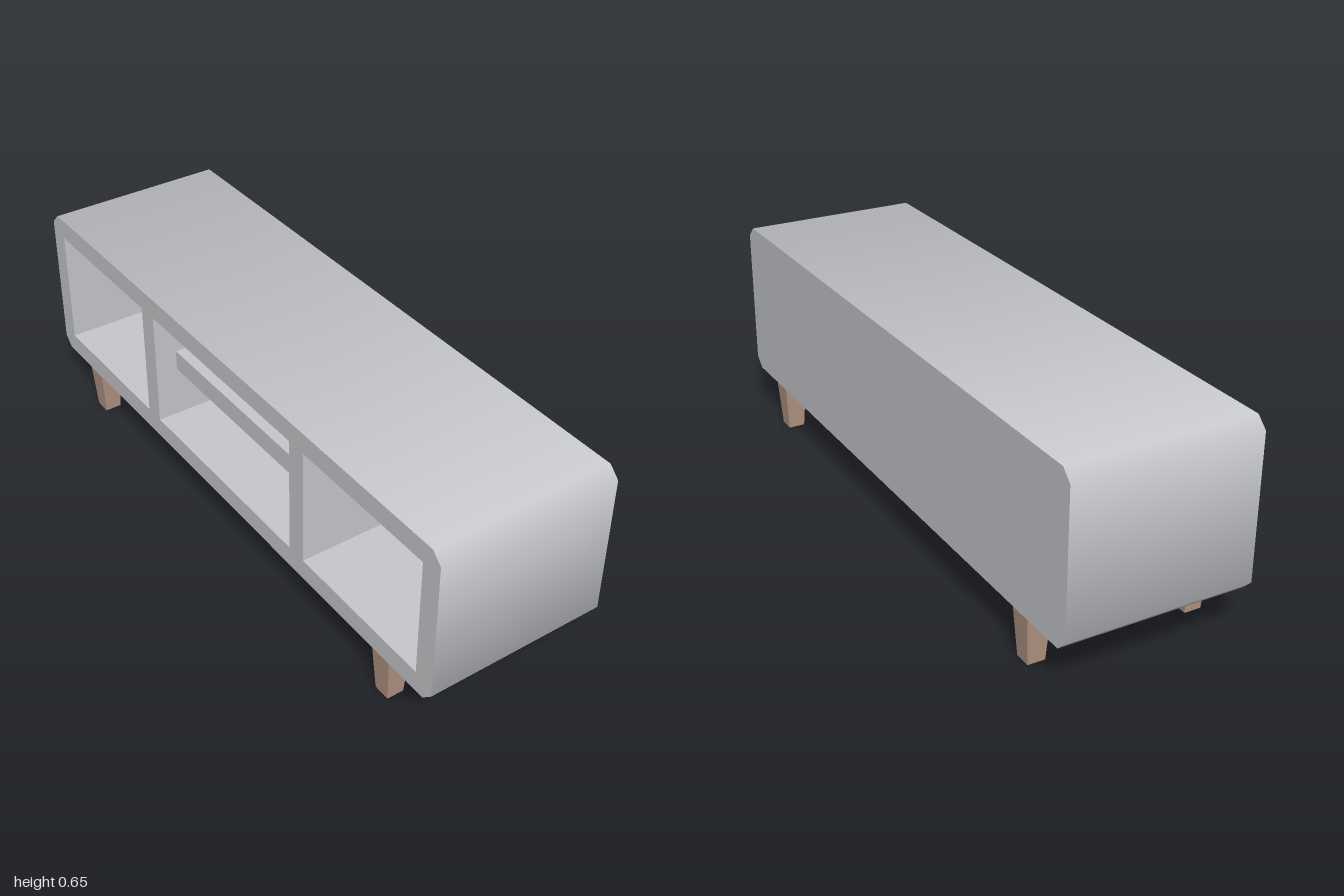
import * as THREE from 'three';

const HALF_DEPTH = 0.286, BASE = 0.148, TOP = 0.655, CHAMFER = 0.033;
const NICHE_BOTTOM = 0.213, NICHE_TOP = 0.59, BACK = 0.22;
const NICHES = [[-0.934, -0.427], [-0.361, 0.361], [0.427, 0.934]];

const named = (name, geometry, material) => {
  const mesh = new THREE.Mesh(geometry, material);
  mesh.name = name;
  return mesh;
};

// Outline of the cabinet seen from the open side, as (z, y), counterclockwise
function outline() {
  const c = CHAMFER;
  return [
    [1 - c, TOP], [c - 1, TOP], [-1, TOP - c], [-1, BASE + c],
    [c - 1, BASE], [1 - c, BASE], [1, BASE + c], [1, TOP - c],
  ].map(([z, y]) => new THREE.Vector2(z, y));
}

// Band round the outline with normals averaged across each corner
function bandGeometry(points) {
  const n = points.length, positions = [], normals = [], index = [];
  const edgeNormal = (i) => {
    const d = points[(i + 1) % n].clone().sub(points[i % n]).normalize();
    return new THREE.Vector2(d.y, -d.x);
  };
  points.forEach((p, i) => {
    const normal = edgeNormal(i).add(edgeNormal(i + n - 1)).normalize();
    for (const x of [-HALF_DEPTH, HALF_DEPTH]) {
      positions.push(x, p.y, p.x);
      normals.push(0, normal.y, normal.x);
    }
    const a = 2 * i, d = 2 * ((i + 1) % n);
    index.push(a, a + 1, d + 1, a, d + 1, d);
  });
  const g = new THREE.BufferGeometry();
  g.setAttribute('position', new THREE.Float32BufferAttribute(positions, 3));
  g.setAttribute('normal', new THREE.Float32BufferAttribute(normals, 3));
  g.setIndex(index);
  return g;
}

// Box seen from inside, without its -x face
function nicheGeometry(z0, z1) {
  const g = new THREE.BoxGeometry(BACK + HALF_DEPTH, NICHE_TOP - NICHE_BOTTOM, z1 - z0);
  const index = Array.from(g.index.array);
  index.splice(6, 6);
  g.setIndex(index.reverse());
  g.clearGroups();
  g.computeVertexNormals();
  return g.translate((BACK - HALF_DEPTH) / 2, (NICHE_TOP + NICHE_BOTTOM) / 2, (z0 + z1) / 2);
}

export function createModel() {
  const grey = new THREE.MeshStandardMaterial({ color: 0xc6c7cb });
  grey.name = 'light grey';
  const wood = new THREE.MeshStandardMaterial({ color: 0xb29582 });
  wood.name = 'brown wood';

  const model = new THREE.Group();
  model.name = 'lowCabinet';

  // Cabinet shell: outer band, closed side and open side
  const points = outline();
  const closed = new THREE.ShapeGeometry(new THREE.Shape(points));
  closed.rotateY(Math.PI / 2).translate(HALF_DEPTH, 0, 0);
  const frame = new THREE.Shape(points);
  for (const [z0, z1] of NICHES) {
    frame.holes.push(new THREE.Path([
      new THREE.Vector2(z0, NICHE_BOTTOM), new THREE.Vector2(z0, NICHE_TOP),
      new THREE.Vector2(z1, NICHE_TOP), new THREE.Vector2(z1, NICHE_BOTTOM),
    ]));
  }
  const open = new THREE.ShapeGeometry(frame);
  open.rotateY(-Math.PI / 2).translate(-HALF_DEPTH, 0, 0);
  model.add(
    named('cabinetShell', bandGeometry(points), grey),
    named('closedPanel', closed, grey),
    named('openFrame', open, grey),
  );

  // Compartments and the set-back shelf in the middle one
  for (const [z0, z1] of NICHES) model.add(named('compartment', nicheGeometry(z0, z1), grey));
  const shelfFront = -0.215;
  const shelf = named('shelf', new THREE.BoxGeometry(BACK - shelfFront, 0.066, 0.722), grey);
  shelf.position.set((BACK + shelfFront) / 2, 0.411, 0);
  model.add(shelf);

  // Square tapered legs
  const legGeometry = new THREE.CylinderGeometry(0.0725 * Math.SQRT1_2, 0.053 * Math.SQRT1_2, BASE, 4)
    .rotateY(Math.PI / 4).toNonIndexed();
  legGeometry.computeVertexNormals();
  for (const x of [-0.25, 0.25]) {
    for (const z of [-0.788, 0.788]) {
      const leg = named('leg', legGeometry, wood);
      leg.position.set(x, BASE / 2, z);
      model.add(leg);
    }
  }
  return model;
}
